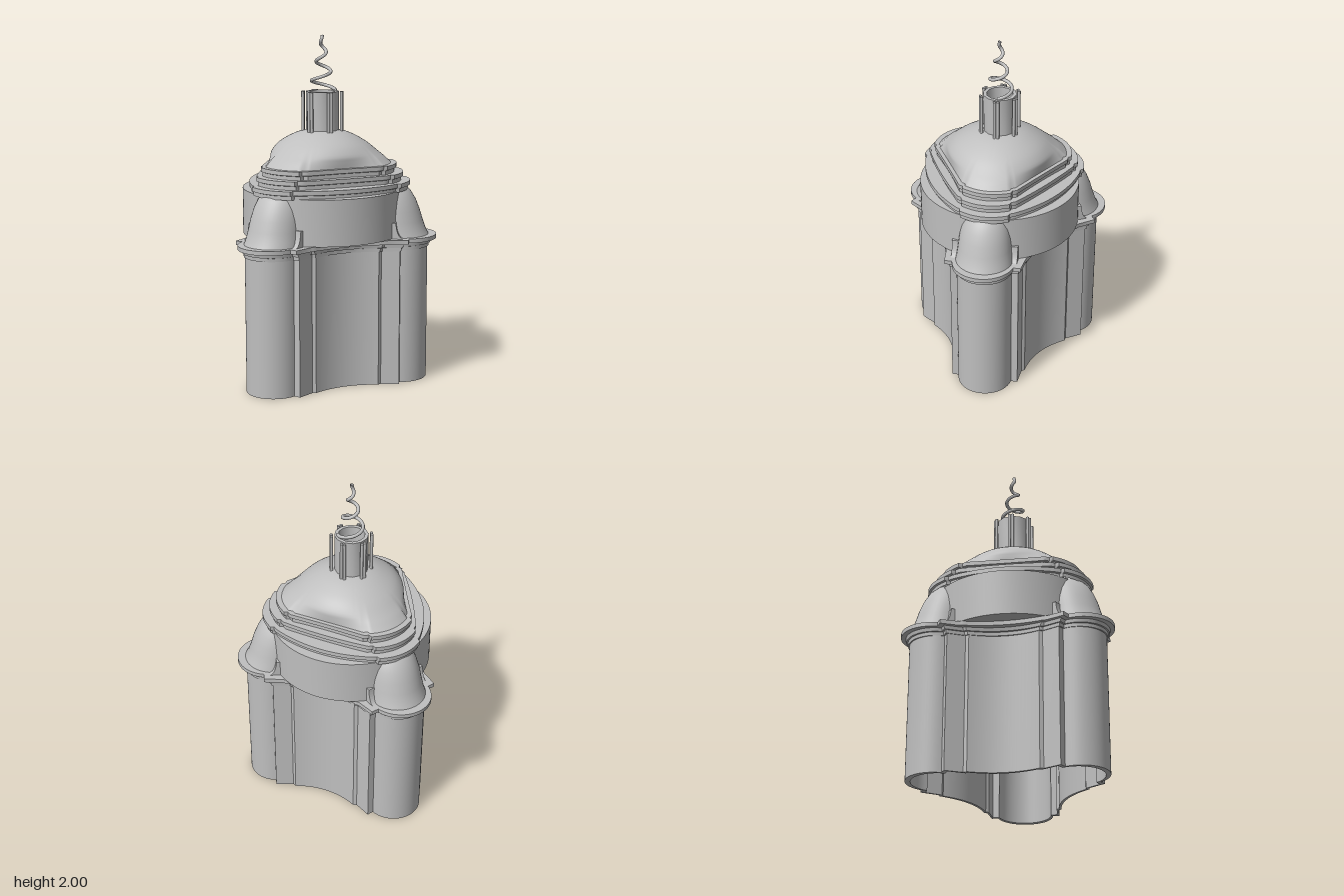
import * as THREE from 'three';
import { toCreasedNormals } from 'three/addons/utils/BufferGeometryUtils.js';

const lerp = THREE.MathUtils.lerp;
const CENTRE_X = -0.1;

// Threefold closed outline from a half-bay running from the lobe tip (0 deg) to mid-wall (60 deg)
function threefold(half) {
  const mirrored = half.slice(1).reverse().map(([a, p]) => [a, -p]);
  const bay = [...mirrored, ...half.slice(0, -1)];
  const pts = [];
  for (let n = 0; n < 3; n++) {
    const c = Math.cos(n * Math.PI * 2 / 3), s = Math.sin(n * Math.PI * 2 / 3);
    for (const [a, p] of bay) pts.push([a * c - p * s, a * s + p * c]);
  }
  return pts;
}

// Curved wall from corner (a, p) to the mid-wall distance on the 60 degree axis
function wallCurve(a, p, mid, steps = 10) {
  const C = 0.5, S = Math.sqrt(3) / 2;
  const u0 = a * C + p * S, v0 = a * S - p * C, out = [];
  for (let i = 1; i <= steps; i++) {
    const f = 1 - i / steps, u = mid + (u0 - mid) * f * f, v = v0 * f;
    out.push([u * C + v * S, u * S - v * C]);
  }
  return out;
}

// Lower plan: round lobes, pilasters, concave walls; k = 0 wall face, k = 1 cornice edge
function bodyPlan(k, scale = 1) {
  const d = lerp(0.455, 0.485, k), r = lerp(0.16, 0.18, k), px = lerp(0.47, 0.52, k);
  const end = Math.acos((px - d) / r), half = [];
  for (let i = 0; i <= 14; i++) {
    const t = end * i / 14;
    half.push([d + r * Math.cos(t), r * Math.sin(t)]);
  }
  half.push([px, lerp(0.198, 0.22, k)], [lerp(0.365, 0.41, k), lerp(0.205, 0.233, k)]);
  const corner = [lerp(0.352, 0.4, k), lerp(0.222, 0.24, k)];
  half.push(corner, ...wallCurve(...corner, lerp(0.325, 0.378, k)));
  return threefold(half).map(([x, z]) => [x * scale, z * scale]);
}

// Upper plan: shallow lobe tips with a small jog, then a bowed side
function stepPlan(tip, mid) {
  const half = [];
  for (let i = 0; i <= 8; i++) {
    const f = i / 8;
    half.push([tip - 0.038 * f * f, 0.138 * f]);
  }
  half.push([tip - 0.06, 0.142], [tip - 0.072, 0.165], ...wallCurve(tip - 0.072, 0.165, mid, 12));
  return threefold(half);
}

const circlePlan = (c, r, n = 40) => Array.from({ length: n }, (_, i) => {
  const t = i / n * Math.PI * 2;
  return [c + r * Math.cos(t), r * Math.sin(t)];
});

// Skin through [plan, y] levels
function loft(levels, crease = 0.6) {
  const n = levels[0][0].length, pos = [], idx = [];
  for (const [plan, y] of levels) for (const [x, z] of plan) pos.push(x, y, z);
  for (let i = 0; i < levels.length - 1; i++) for (let j = 0; j < n; j++) {
    const a = i * n + j, b = i * n + (j + 1) % n, c = a + n, d = b + n;
    idx.push(a, c, b, b, c, d);
  }
  const g = new THREE.BufferGeometry();
  g.setAttribute('position', new THREE.Float32BufferAttribute(pos, 3));
  g.setIndex(idx);
  return toCreasedNormals(g, crease);
}

export function createModel() {
  const stone = new THREE.MeshStandardMaterial({ color: 0xbfbfbf, side: THREE.DoubleSide });
  stone.name = 'stone grey';
  const group = new THREE.Group();
  group.name = 'domedChapel';
  const add = (geometry, name, parent = group) => {
    const m = new THREE.Mesh(geometry, stone);
    m.name = name;
    parent.add(m);
    return m;
  };
  const lathe = (pts, seg) => toCreasedNormals(
    new THREE.LatheGeometry(pts.map(([r, y]) => new THREE.Vector2(r, y)), seg), 0.6);

  // Hollow lower walls, open underneath
  const wall = bodyPlan(0), inner = bodyPlan(0, 0.95);
  add(loft([[inner, 0.82], [inner, 0], [wall, 0], [wall, 0.8]]), 'lowerWalls');

  // Stepped cornice
  add(loft([
    [bodyPlan(0), 0.79], [bodyPlan(0.15), 0.79], [bodyPlan(0.18), 0.81],
    [bodyPlan(0.35), 0.812], [bodyPlan(0.45), 0.832], [bodyPlan(1), 0.834],
    [bodyPlan(1), 0.858], [bodyPlan(0, 0.8), 0.858],
  ]), 'cornice');

  // Round drum
  add(lathe([[0.26, 0.86], [0.465, 0.86], [0.465, 1.125], [0.3, 1.125]], 96), 'drum');

  // Rounded buttress above each lobe, with small swept wings on the pilasters
  const buttressSkin = loft([
    [0.455, 0.165, 0.858], [0.443, 0.16, 0.89], [0.432, 0.154, 0.94], [0.42, 0.148, 1.0],
    [0.408, 0.136, 1.06], [0.396, 0.118, 1.11], [0.385, 0.1, 1.14], [0.37, 0.08, 1.16],
  ].map(([c, r, y]) => [circlePlan(c, r), y]));
  const wingShape = new THREE.Shape();
  wingShape.moveTo(0.4, 0.858);
  wingShape.lineTo(0.485, 0.858);
  wingShape.quadraticCurveTo(0.452, 0.87, 0.445, 0.95);
  wingShape.lineTo(0.4, 0.95);
  const wing = new THREE.ExtrudeGeometry(wingShape, { depth: 0.05, bevelEnabled: false, curveSegments: 8 });
  for (let i = 0; i < 3; i++) {
    const buttress = new THREE.Group();
    buttress.name = 'buttress';
    buttress.rotation.y = i * Math.PI * 2 / 3;
    group.add(buttress);
    add(buttressSkin, 'buttressCap', buttress);
    for (const z of [-0.19, 0.14]) add(wing, 'buttressWing', buttress).position.z = z;
  }

  // Three steps with a small lip, turning from round to three-cornered
  const steps = [[0.51, 0.42, 1.12], [0.47, 0.355, 1.17], [0.43, 0.32, 1.22]];
  for (const [tip, mid, y] of steps) {
    const plan = stepPlan(tip, mid), neck = stepPlan(tip - 0.012, mid - 0.012);
    const inset = plan.map(([x, z]) => [x * 0.78, z * 0.78]);
    add(loft([[neck, y], [neck, y + 0.022], [plan, y + 0.026], [plan, y + 0.05], [inset, y + 0.05]]), 'domeStep');
  }

  // Dome blending from the three-cornered plan to a round opening: (height, radius, roundness)
  const base = stepPlan(0.43, 0.32);
  const domeCurve = new THREE.CatmullRomCurve3([
    [1.268, 0.3, 0], [1.305, 0.3, 0.42], [1.345, 0.287, 0.82], [1.4, 0.232, 1],
    [1.435, 0.165, 1], [1.452, 0.115, 1], [1.458, 0.085, 1],
  ].map(p => new THREE.Vector3(...p)));
  add(loft(domeCurve.getPoints(24).map(({ x: y, y: r, z: m }) => [base.map(([px, pz]) => {
    const len = Math.hypot(px, pz), s = lerp(len * 0.93, r, Math.min(m, 1)) / len;
    return [px * s, pz * s];
  }), y]), 0.9), 'dome');

  // Open lantern with paired columns
  const lantern = new THREE.Group();
  lantern.name = 'lantern';
  group.add(lantern);
  add(lathe([[0.076, 1.45], [0.096, 1.45], [0.096, 1.68], [0.076, 1.68], [0.076, 1.45]], 12), 'lanternWall', lantern);
  const column = new THREE.CylinderGeometry(0.009, 0.009, 0.23, 12);
  for (let i = 0; i < 6; i++) for (const side of [-1, 1]) {
    const t = i * Math.PI / 3 + side * 0.085;
    add(column, 'lanternColumn', lantern).position.set(0.113 * Math.cos(t), 1.565, 0.113 * Math.sin(t));
  }

  // Tapering spiral finial
  const spiral = [];
  for (let i = 0; i <= 80; i++) {
    const f = i / 80, t = -f * 2.85 * Math.PI * 2, r = 0.076 * (1 - f);
    spiral.push(new THREE.Vector3(r * Math.cos(t), 1.682 + 0.318 * f, r * Math.sin(t)));
  }
  add(new THREE.TubeGeometry(new THREE.CatmullRomCurve3(spiral), 200, 0.01, 8), 'spiralFinial');

  for (const part of group.children) part.position.x += CENTRE_X;
  return group;
}
